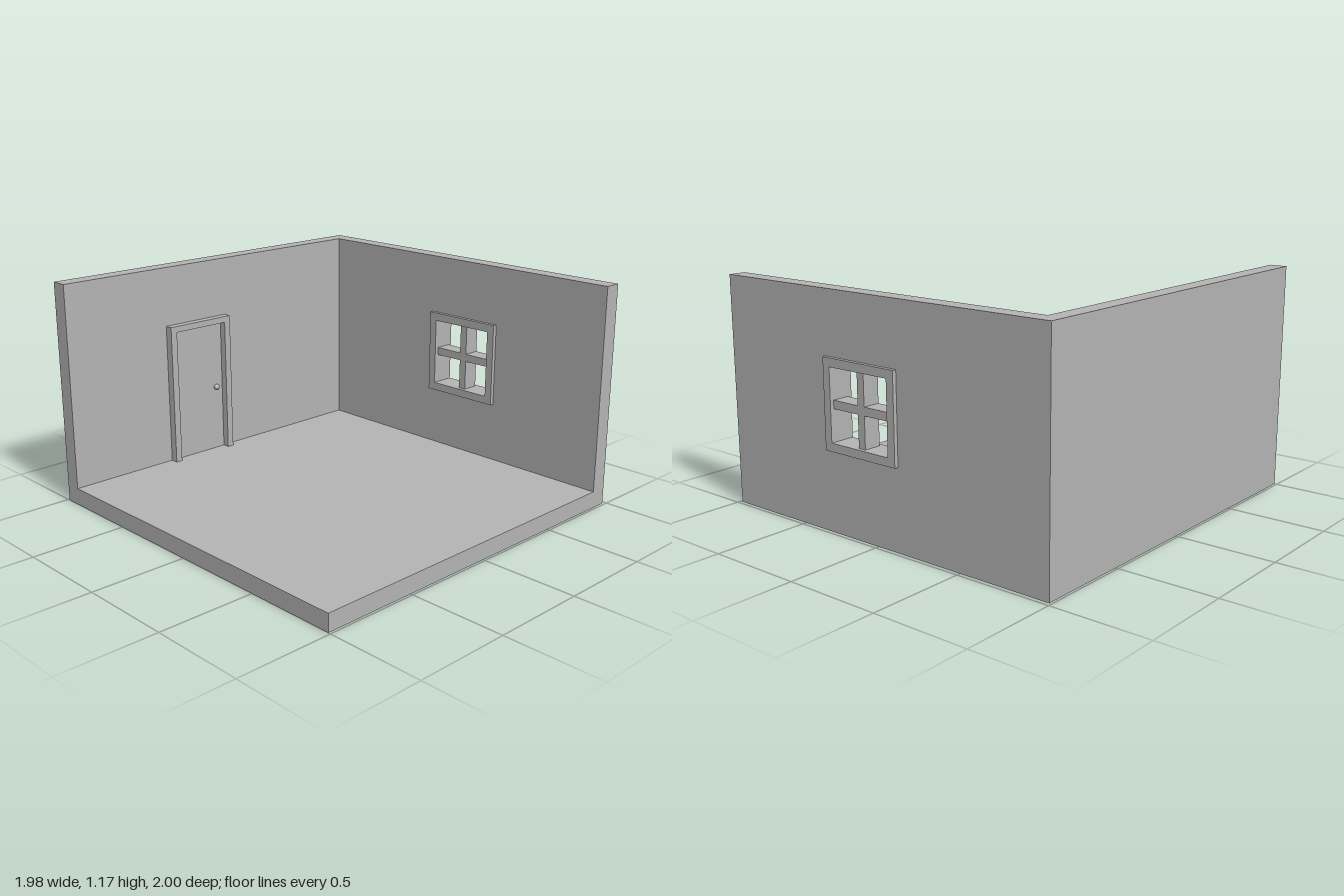
import * as THREE from 'three';

export function createModel() {
  const room = new THREE.Group();
  room.name = 'room';
  const grey = new THREE.MeshStandardMaterial({ color: 0xb3b3b3 });
  grey.name = 'plain grey';

  function add(name, geometry, parent = room) {
    const mesh = new THREE.Mesh(geometry, grey);
    mesh.name = name;
    parent.add(mesh);
    return mesh;
  }

  // Box given by its limits on each axis
  function box(name, [x0, x1], [y0, y1], [z0, z1], parent) {
    const mesh = add(name, new THREE.BoxGeometry(x1 - x0, y1 - y0, z1 - z0), parent);
    mesh.position.set((x0 + x1) / 2, (y0 + y1) / 2, (z0 + z1) / 2);
    return mesh;
  }

  const corners = ([x0, x1], [y0, y1]) =>
    [[x0, y0], [x1, y0], [x1, y1], [x0, y1]].map(([x, y]) => new THREE.Vector2(x, y));

  // Upright slab facing +z with a rectangular opening
  function pierced(name, outerX, outerY, holeX, holeY, [z0, z1], parent) {
    const shape = new THREE.Shape(corners(outerX, outerY));
    shape.holes.push(new THREE.Path(corners(holeX, holeY)));
    const geometry = new THREE.ExtrudeGeometry(shape, { depth: z1 - z0, bevelEnabled: false });
    geometry.translate(0, 0, z0);
    return add(name, geometry, parent);
  }

  const width = [-0.988, 0.988];
  const wallY = [0.09, 1.17];
  const backZ = [-0.98, -0.89];
  const frameX = [-0.138, 0.312], frameY = [0.408, 0.855];
  const paneX = [-0.095, 0.27], paneY = [0.45, 0.812];

  // Floor and two walls
  box('floor', width, [0, 0.09], [-0.98, 1]);
  box('sideWall', [-0.988, -0.9], wallY, [-0.89, 1]);
  pierced('backWall', width, wallY, frameX, frameY, backZ);

  // Window: frame standing proud on both sides, crossed by two bars
  const windowGroup = new THREE.Group();
  windowGroup.name = 'window';
  room.add(windowGroup);
  pierced('windowFrame', frameX, frameY, paneX, paneY, [-1, -0.868], windowGroup);
  box('verticalBar', [0.068, 0.11], paneY, backZ, windowGroup);
  box('leftCrossBar', [0.11, paneX[1]], [0.61, 0.652], backZ, windowGroup);
  box('rightCrossBar', [paneX[0], 0.068], [0.61, 0.652], backZ, windowGroup);

  // Door: posts, lintel, panel and knob
  const door = new THREE.Group();
  door.name = 'door';
  room.add(door);
  const jambX = [-0.9, -0.857];
  for (const [name, z] of [['nearPost', [0.358, 0.395]], ['farPost', [-0.005, 0.032]]]) {
    box(name, jambX, [0.09, 0.82], z, door);
  }
  box('lintel', jambX, [0.82, 0.853], [-0.005, 0.395], door);
  box('doorPanel', [-0.9, -0.896], [0.09, 0.82], [0.032, 0.358], door);
  const knob = add('knob', new THREE.SphereGeometry(0.016, 20, 14), door);
  knob.position.set(-0.882, 0.452, 0.082);

  return room;
}
